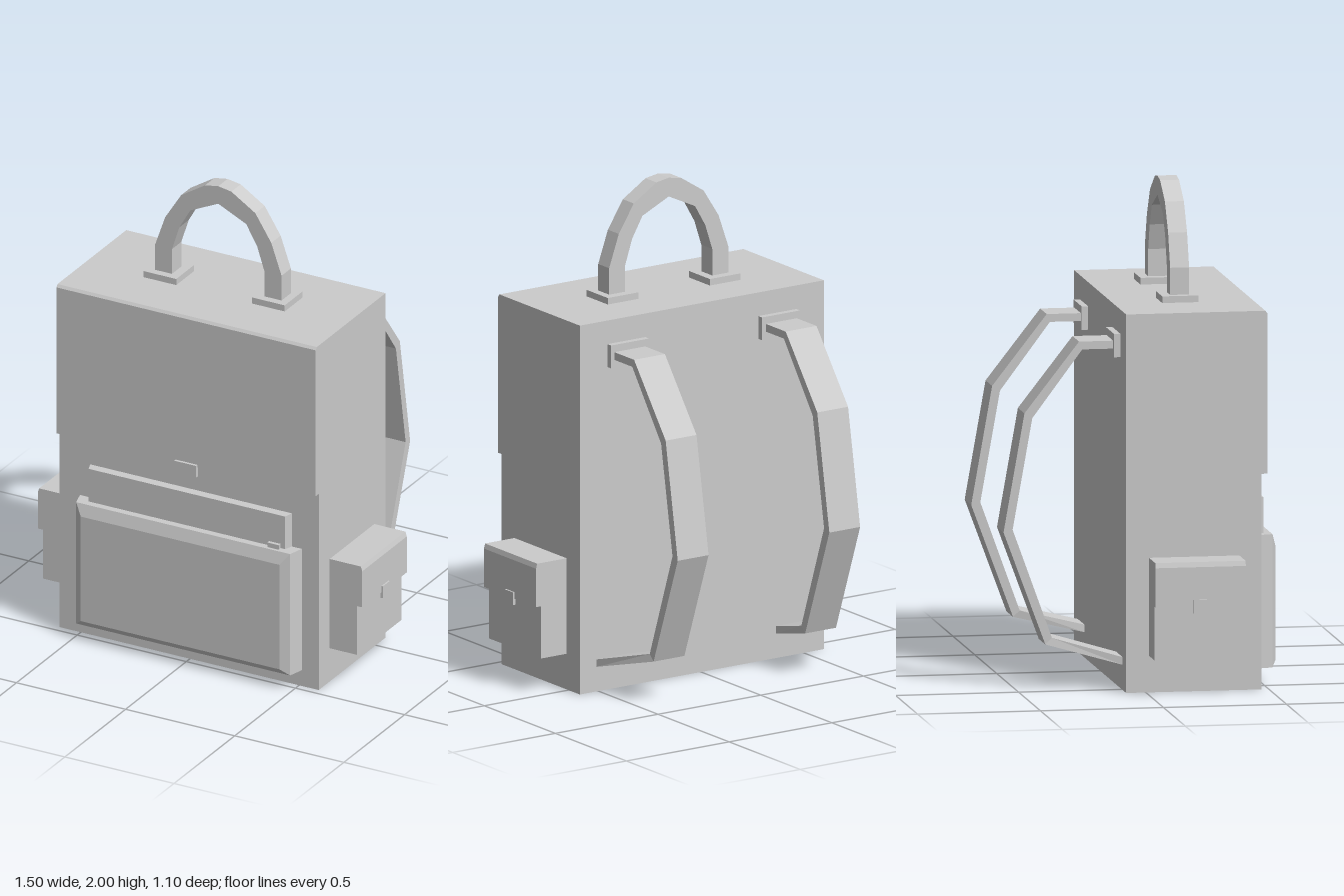
import * as THREE from 'three';

const material = new THREE.MeshStandardMaterial({ color: 0xcccccc, flatShading: true });

function add(parent, name, geometry) {
  const mesh = new THREE.Mesh(geometry, material);
  mesh.name = name;
  parent.add(mesh);
  return mesh;
}

// Box given by its lower and upper limits on each axis.
function box(parent, name, [x0, x1], [y0, y1], [z0, z1]) {
  const geometry = new THREE.BoxGeometry(Math.abs(x1 - x0), y1 - y0, z1 - z0);
  geometry.translate((x0 + x1) / 2, (y0 + y1) / 2, (z0 + z1) / 2);
  return add(parent, name, geometry);
}

// Outline of [x, y] points, extruded from z0 to z1.
function extrudeZ(points, z0, z1) {
  const shape = new THREE.Shape(points.map(([x, y]) => new THREE.Vector2(x, y)));
  return new THREE.ExtrudeGeometry(shape, { depth: z1 - z0, bevelEnabled: false }).translate(0, 0, z0);
}

// Outline of [z, y] points, extruded from x0 to x1.
function extrudeX(points, x0, x1) {
  return extrudeZ(points.map(([z, y]) => [-z, y]), x0, x1).rotateY(Math.PI / 2);
}

// Stack of rectangles { z, x: [min, max], y: [min, max] } from back to front, closed at the front.
function taperedPanel(sections) {
  const positions = [];
  const index = [];
  sections.forEach(({ z, x, y }) => {
    positions.push(x[0], y[0], z, x[1], y[0], z, x[1], y[1], z, x[0], y[1], z);
  });
  for (let s = 0; s < sections.length - 1; s++) {
    for (let i = 0; i < 4; i++) {
      const a = s * 4 + i, b = s * 4 + (i + 1) % 4;
      index.push(a, b, b + 4, a, b + 4, a + 4);
    }
  }
  const f = (sections.length - 1) * 4;
  index.push(f, f + 1, f + 2, f, f + 2, f + 3);
  const geometry = new THREE.BufferGeometry();
  geometry.setAttribute('position', new THREE.Float32BufferAttribute(positions, 3));
  geometry.setIndex(index);
  const flat = geometry.toNonIndexed();
  flat.computeVertexNormals();
  return flat;
}

export function createModel() {
  const model = new THREE.Group();
  model.name = 'backpack';

  // Main bag with the closing flap standing proud of the upper front
  add(model, 'body', extrudeX([
    [-0.08, 0], [0.47, 0], [0.47, 0.873], [0.495, 0.873],
    [0.495, 1.522], [0.486, 1.533], [-0.08, 1.533],
  ], -0.598, 0.59));

  // Flap buckle
  box(model, 'flapBuckle', [-0.052, 0.048], [0.832, 0.885], [0.492, 0.507]);

  // Front pocket: inner panel, bevelled outer panel and zip pull
  add(model, 'frontPocketInner', taperedPanel([
    { z: 0.46, x: [-0.46, 0.47], y: [0.5, 0.758] },
    { z: 0.505, x: [-0.445, 0.455], y: [0.5, 0.755] },
  ]));
  add(model, 'frontPocketOuter', taperedPanel([
    { z: 0.46, x: [-0.507, 0.515], y: [0.07, 0.61] },
    { z: 0.535, x: [-0.485, 0.495], y: [0.07, 0.61] },
    { z: 0.552, x: [-0.455, 0.455], y: [0.095, 0.56] },
  ]));
  box(model, 'zipPull', [0.383, 0.436], [0.605, 0.63], [0.507, 0.522]);

  // Carrying handle: half the arch is listed and mirrored
  const outer = [[0.29, 1.55], [0.29, 1.67], [0.243, 1.805], [0.17, 1.92], [0.06, 1.99]];
  const inner = [[0.212, 1.55], [0.212, 1.67], [0.178, 1.775], [0.128, 1.862]];
  const mirror = (points) => points.map(([x, y]) => [-x, y]).reverse();
  const arch = [
    ...outer, [0, 2], ...mirror(outer),
    ...mirror(inner).reverse(), [0, 1.922], ...inner.slice().reverse(),
  ];
  add(model, 'handle', extrudeZ(arch, 0.153, 0.23)).position.x = -0.004;

  // Shoulder strap outline in [z, y], outer run down and inner run back up
  const strapOutline = [
    [-0.08, 1.405], [-0.245, 1.405], [-0.467, 1.12], [-0.552, 0.64], [-0.382, 0.182], [-0.08, 0.102],
    [-0.08, 0.133], [-0.355, 0.208], [-0.515, 0.65], [-0.435, 1.1], [-0.232, 1.373], [-0.08, 1.373],
  ];

  for (const side of [1, -1]) {
    const half = new THREE.Group();
    half.name = side > 0 ? 'leftSide' : 'rightSide';
    half.position.x = -0.004;
    model.add(half);
    const span = (a, b) => [side * a, side * b];

    // Handle mount
    box(half, 'handleMount', span(0.174, 0.323), [1.53, 1.56], [0.115, 0.263]);

    // Strap mount, and strap whose lower end swings outward
    box(half, 'strapMount', span(0.275, 0.46), [1.34, 1.435], [-0.106, -0.075]);
    const strap = extrudeX(strapOutline, side * 0.369 - 0.075, side * 0.369 + 0.075);
    const p = strap.attributes.position;
    for (let i = 0; i < p.count; i++) {
      if (p.getY(i) < 0.15 && p.getZ(i) > -0.1) p.setX(i, p.getX(i) + side * 0.068);
    }
    strap.computeVertexNormals();
    add(half, 'shoulderStrap', strap);

    // Side pocket with overhanging lid and buckle
    add(half, 'sidePocket', extrudeZ([
      [0.58, 0.148], [0.719, 0.148], [0.719, 0.365], [0.743, 0.365],
      [0.743, 0.525], [0.737, 0.545], [0.58, 0.545],
    ].map(([x, y]) => [side * x, y]), 0.013, 0.38));
    box(half, 'sideBuckle', span(0.738, 0.75), [0.34, 0.393], [0.165, 0.222]);
  }

  return model;
}
